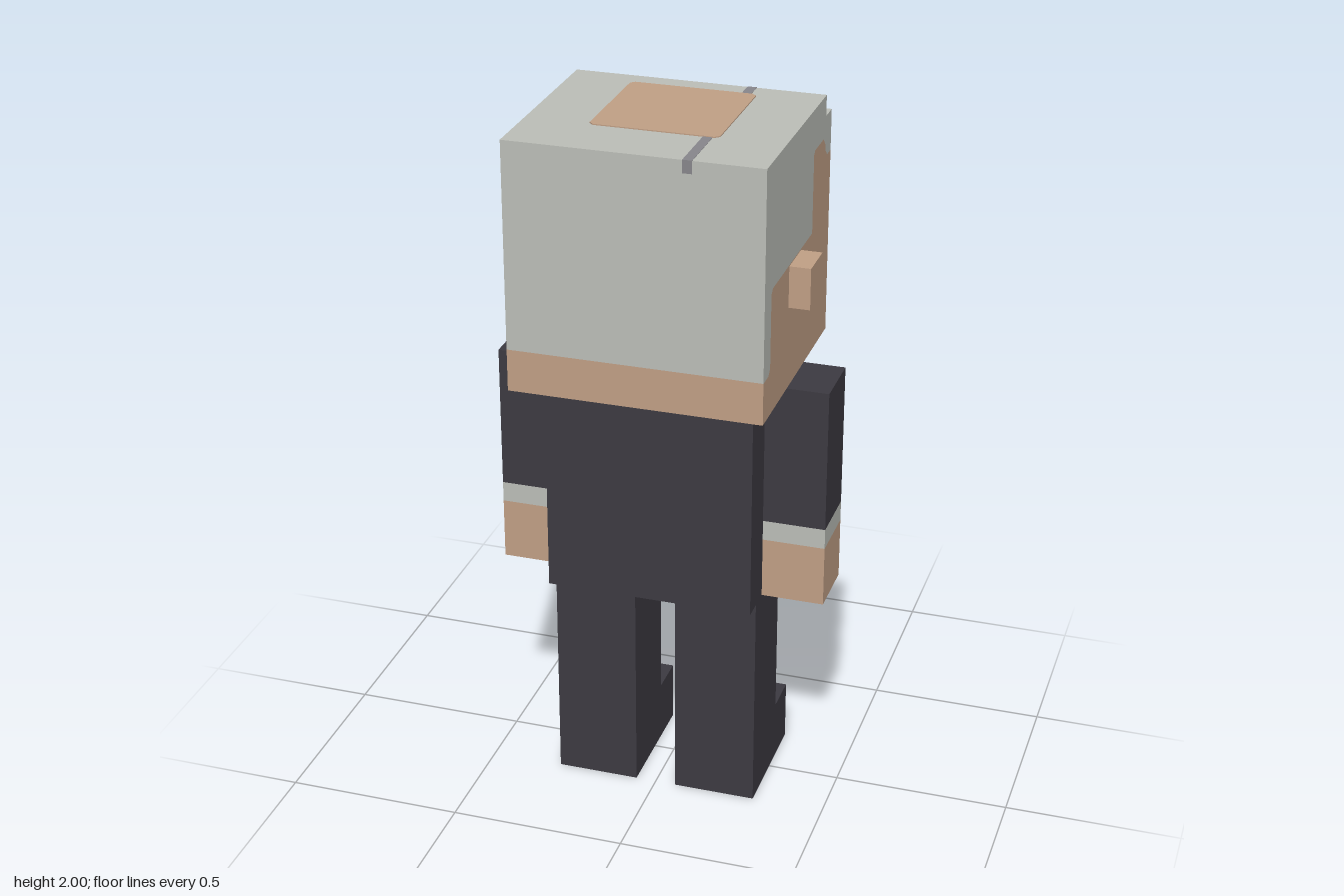
import * as THREE from 'three';

const P = 1 / 17; // block unit

export function createModel() {
  const model = new THREE.Group();
  model.name = 'blockMan';

  const mat = (name, color) => {
    const m = new THREE.MeshStandardMaterial({ color });
    m.name = name;
    return m;
  };
  const hair = mat('paleGrey', 0xbbbdb7);
  const skin = mat('skin', 0xc09f85);
  const suit = mat('charcoal', 0x3c3a41);
  const frame = mat('frameGrey', 0x87868b);
  const green = mat('tieGreen', 0x2b7046);
  const gold = mat('gold', 0xc79a1a);

  const add = (name, geometry, material, parent = model) => {
    const mesh = new THREE.Mesh(geometry, material);
    mesh.name = name;
    parent.add(mesh);
    return mesh;
  };
  // Box from opposite corners
  const box = (name, material, [x0, y0, z0], [x1, y1, z1], parent) => {
    const g = new THREE.BoxGeometry(x1 - x0, y1 - y0, z1 - z0);
    g.translate((x0 + x1) / 2, (y0 + y1) / 2, (z0 + z1) / 2);
    return add(name, g, material, parent);
  };
  // Box given in block units
  const block = (name, material, a, b, parent) =>
    box(name, material, a.map(v => v * P), b.map(v => v * P), parent);
  // Side profile (forward, y) extruded across the head; forward is -z
  const across = (name, material, points, halfWidth, parent) => {
    const shape = new THREE.Shape(points.map(p => new THREE.Vector2(...p)));
    const g = new THREE.ExtrudeGeometry(shape, { depth: halfWidth * 2, bevelEnabled: false });
    g.rotateY(Math.PI / 2);
    g.translate(-halfWidth, 0, 0);
    return add(name, g, material, parent);
  };

  // Head: hair and face meet along one hairline
  const head = new THREE.Group();
  head.name = 'head';
  model.add(head);
  const back = -6 * P, front = 5 * P, top = 34 * P, chin = 22 * P;
  const hairline = [
    [back, 1.414], [-0.305, 1.414], [-0.29, 1.43], [-0.29, 1.637], [-0.277, 1.65],
    [0.115, 1.65], [0.115, 1.872], [0.125, 1.882], [0.215, 1.882], [0.233, 1.862],
    [0.24, 1.84], [0.257, 1.825], [front, 1.825],
  ];
  across('hair', hair, [...hairline, [front, 33 * P], [4 * P, 33 * P], [4 * P, top], [back, top]], 6 * P, head);
  across('face', skin, [...hairline].reverse().concat([[back, chin], [front, chin]]), 6 * P, head);

  // Bald patch with clipped corners
  const s = 3 * P, c = s - 0.012;
  const patch = new THREE.Shape(
    [[s, -c], [s, c], [c, s], [-c, s], [-s, c], [-s, -c], [-c, -s], [c, -s]].map(p => new THREE.Vector2(...p)));
  const patchGeo = new THREE.ExtrudeGeometry(patch, { depth: 0.003, bevelEnabled: false });
  patchGeo.rotateX(-Math.PI / 2);
  patchGeo.translate(0, top, 0);
  add('baldPatch', patchGeo, skin, head);

  // Hair parting
  box('parting', frame, [0.133, 1.965, -4 * P - 0.001], [0.159, top + 0.001, 6 * P + 0.001], head);

  // Nose
  block('nose', skin, [-1, 24, -6], [1, 26, -5], head);

  // Glasses: two square rims and a bridge
  const glasses = new THREE.Group();
  glasses.name = 'glasses';
  head.add(glasses);
  const square = (Type, r) => new Type(
    [[-r, -r], [r, -r], [r, r], [-r, r]].map(p => new THREE.Vector2(p[0] * P, p[1] * P)));
  for (const side of [-1, 1]) {
    const rim = square(THREE.Shape, 2);
    rim.holes.push(square(THREE.Path, 1));
    const g = new THREE.ExtrudeGeometry(rim, { depth: P, bevelEnabled: false });
    g.translate(side * 3 * P, 27 * P, -6 * P);
    add(side > 0 ? 'leftRim' : 'rightRim', g, frame, glasses);
  }
  block('bridge', frame, [-1, 27, -6], [1, 28, -5], glasses);

  // Jacket, shirt and tie
  block('jacket', suit, [-5, 11, -2], [5, 22, 4]);
  box('shirt', hair, [-2 * P, 15 * P, -2 * P - 0.004], [2 * P, 22 * P, -2 * P]);
  block('tie', green, [-1, 13, -3], [1, 22, -2]);
  block('tieTip', suit, [-1, 12, -3], [1, 13, -2]);
  block('lapelPin', gold, [-4, 19, -3], [-3, 20, -2]);

  // Mirrored parts
  for (const side of [-1, 1]) {
    const label = side > 0 ? 'left' : 'right';
    const pair = (part, material, [x0, y0, z0], [x1, y1, z1]) => {
      const xs = [x0 * side, x1 * side].sort((a, b) => a - b);
      block(label + part, material, [xs[0], y0, z0], [xs[1], y1, z1]);
    };
    pair('Ear', skin, [6, 26, 0], [7, 28, 2]);
    pair('Lapel', suit, [2, 15, -3], [3, 22, -2]);
    pair('Sleeve', suit, [5, 15, -1], [8, 22, 2]);
    pair('Cuff', hair, [5, 14, -1], [8, 15, 2]);
    pair('Hand', skin, [5, 11, -1], [8, 14, 2]);
    pair('Leg', suit, [1, 0, -1], [5, 11, 3]);
    pair('Foot', suit, [1, 0, -3], [5, 3, -1]);
  }

  return model;
}
